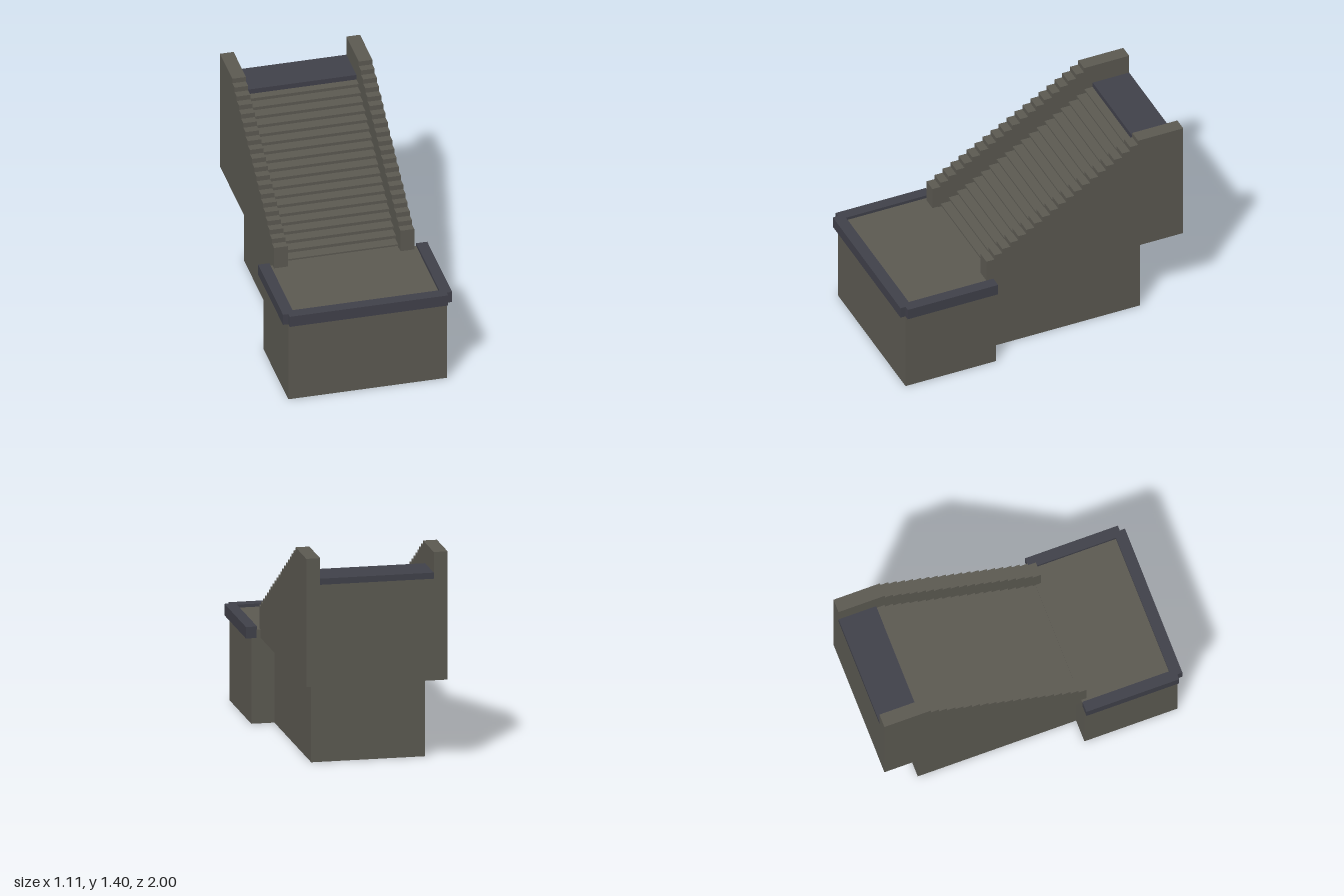
import * as THREE from 'three';

export function createModel() {
  const group = new THREE.Group();
  const stone = new THREE.MeshStandardMaterial({ color: 0x5c5a52 });
  const slate = new THREE.MeshStandardMaterial({ color: 0x40414a });
  const STEPS = 19, RUN = 0.0557, RISE = 0.0333;

  function add(name, geometry, material) {
    const mesh = new THREE.Mesh(geometry, material);
    mesh.name = name;
    group.add(mesh);
  }

  // Box given by its lower and upper limits on each axis
  function box(name, material, [x0, x1], [y0, y1], [z0, z1]) {
    const g = new THREE.BoxGeometry(x1 - x0, y1 - y0, z1 - z0);
    g.translate((x0 + x1) / 2, (y0 + y1) / 2, (z0 + z1) / 2);
    add(name, g, material);
  }

  // Side profile of [z, y] points, extruded across x
  function profile(name, material, points, x0, x1) {
    const shape = new THREE.Shape(points.map(([z, y]) => new THREE.Vector2(-z, y)));
    const g = new THREE.ExtrudeGeometry(shape, { depth: x1 - x0, bevelEnabled: false });
    g.rotateY(Math.PI / 2).translate(x0, 0, 0);
    add(name, g, material);
  }

  // Front platform with a slightly sunken floor, and the narrower rear base
  box('platformBase', stone, [-0.52, 0.52], [0, 0.56], [0.335, 0.965]);
  box('platformFloor', stone, [-0.487, 0.487], [0.56, 0.615], [0.335, 0.93]);
  box('rearBase', stone, [-0.37, 0.37], [0, 0.56], [-0.74, 0.335]);

  // Dark rim on three sides of the platform
  box('frontRim', slate, [-0.52, 0.52], [0.56, 0.635], [0.925, 1]);
  box('leftRim', slate, [0.482, 0.555], [0.56, 0.635], [0.335, 0.965]);
  box('rightRim', slate, [-0.555, -0.482], [0.56, 0.635], [0.335, 0.965]);

  // Stepped side walls
  const wall = [[-1, 0.56], [0.373, 0.56]];
  for (let i = 0; i < 20; i++) {
    const y = 0.767 + i * RISE;
    wall.push([0.373 - i * RUN, y]);
    wall.push([i < 19 ? 0.373 - (i + 1) * RUN : -1, y]);
  }
  profile('leftWall', stone, wall, 0.37, 0.46);
  profile('rightWall', stone, wall, -0.46, -0.37);

  // Solid stair core with its risers set back behind the treads
  const core = [[-1, 0.56], [0.335, 0.56], [0.335, 0.61]];
  const inset = 0.02, thick = 0.011;
  core.push([0.315 - inset, 0.61]);
  for (let i = 0; i < STEPS; i++) {
    const y = 0.632 + i * RISE - thick;
    core.push([0.315 - inset - i * RUN, y], [0.315 - inset - (i + 1) * RUN, y]);
  }
  core.push([0.315 - inset - STEPS * RUN, 1.225], [-1, 1.225]);
  profile('stairCore', stone, core, -0.37, 0.37);

  // Thin overhanging treads
  for (let i = 0; i < STEPS; i++) {
    const y = 0.632 + i * RISE, z = 0.315 - i * RUN;
    box('tread', stone, [-0.37, 0.37], [y - thick, y], [z - RUN - inset, z]);
  }

  // Dark slab at the head of the stairs
  box('landing', slate, [-0.37, 0.37], [1.225, 1.265], [-1, -0.745]);

  return group;
}
